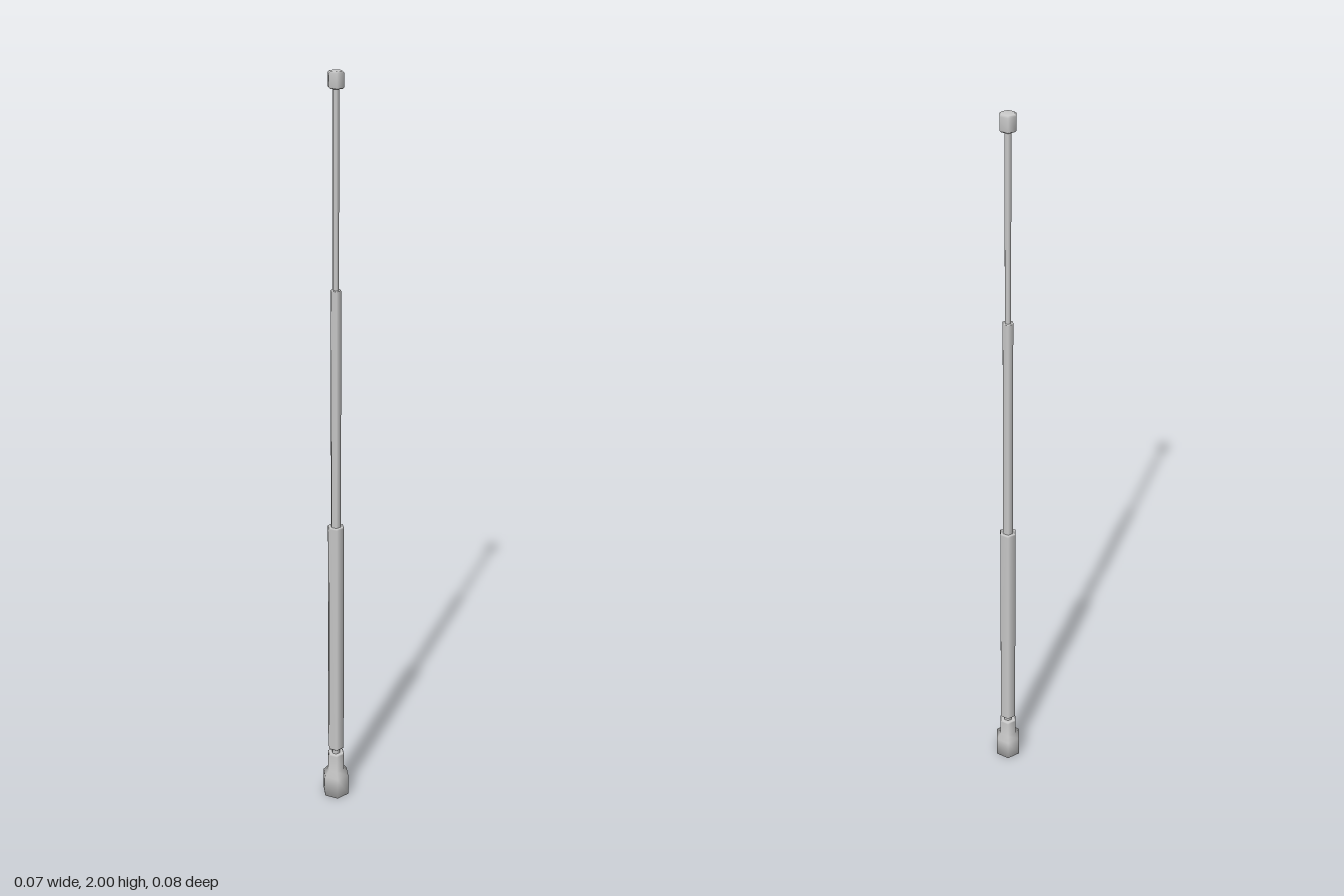
import * as THREE from 'three';

const material = new THREE.MeshStandardMaterial({ color: 0xcccccc });

// Six-sided turned part; profile is [radius, height] from bottom to top
function turned(name, profile) {
  const points = profile.map(([r, y]) => new THREE.Vector2(r, y));
  const mesh = new THREE.Mesh(new THREE.LatheGeometry(points, 6), material);
  mesh.name = name;
  return mesh;
}

// Straight section with slightly bevelled ends
function section(name, radius, bottom, top, bevel) {
  return turned(name, [
    [0, bottom], [radius - bevel, bottom], [radius, bottom + bevel],
    [radius, top - bevel], [radius - bevel, top], [0, top],
  ]);
}

export function createModel() {
  const antenna = new THREE.Group();
  antenna.name = 'telescopicAntenna';

  // Mounting foot with a shoulder that narrows into the collar
  antenna.add(turned('mountingBase', [
    [0, 0], [0.038, 0], [0.038, 0.064], [0.025, 0.08],
    [0.025, 0.13], [0.022, 0.133], [0, 0.133],
  ]));

  // Thin pivot between the collar and the first tube
  antenna.add(section('pivotPin', 0.012, 0.125, 0.155, 0.001));

  // Telescoping tubes, thickest at the bottom
  antenna.add(section('lowerTube', 0.0235, 0.15, 0.84, 0.003));
  antenna.add(section('middleTube', 0.0145, 0.83, 1.48, 0.002));
  antenna.add(section('upperRod', 0.0085, 1.47, 1.97, 0.001));

  // End cap
  antenna.add(section('tipCap', 0.021, 1.96, 2, 0.004));

  return antenna;
}
